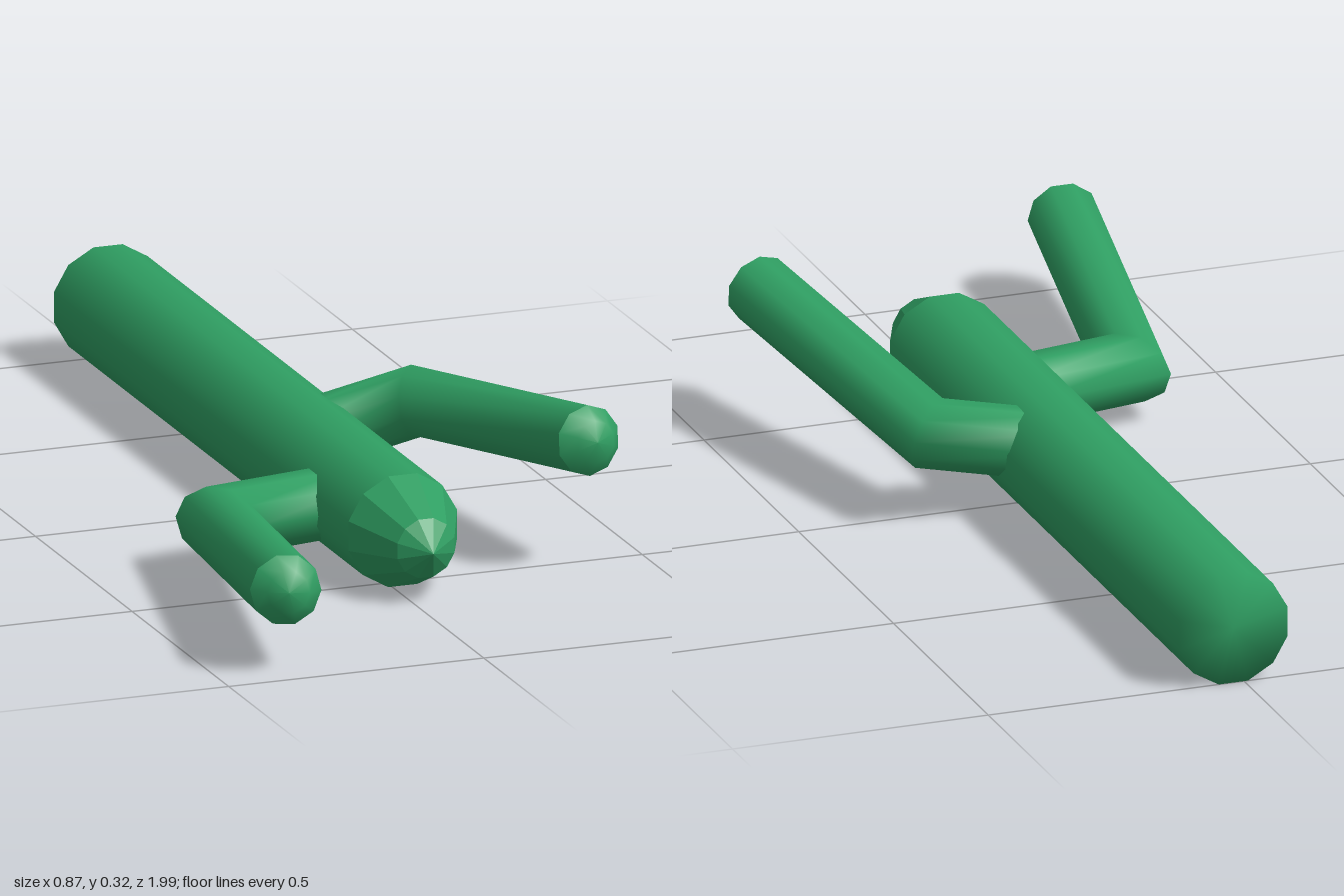
import * as THREE from 'three';

const V = (x, y, z) => new THREE.Vector3(x, y, z);
const SIDES = 10;

// Skin a list of equal rings into a closed-round, smooth surface
function skin(rings) {
  const pos = [], idx = [], n = SIDES;
  rings.forEach(r => r.forEach(p => pos.push(p.x, p.y, p.z)));
  for (let i = 0; i < rings.length - 1; i++) {
    for (let j = 0; j < n; j++) {
      const a = i * n + j, b = i * n + (j + 1) % n;
      idx.push(a, b, a + n, b, b + n, a + n);
    }
  }
  const g = new THREE.BufferGeometry();
  g.setAttribute('position', new THREE.Float32BufferAttribute(pos, 3));
  g.setIndex(idx);
  g.computeVertexNormals();
  return g;
}

// Arm with one mitred elbow and a low domed end
function makeArm(name, start, elbow, end, radius, mat) {
  const d1 = elbow.clone().sub(start).normalize();
  const d2 = end.clone().sub(elbow).normalize();
  const mitre = d1.clone().add(d2).normalize();
  const e1 = d1.clone().cross(V(0, 1, 0)).normalize();
  const e2 = d1.clone().cross(e1);
  const first = [];
  for (let j = 0; j < SIDES; j++) {
    const a = j / SIDES * Math.PI * 2;
    first.push(start.clone().addScaledVector(e1, radius * Math.cos(a)).addScaledVector(e2, radius * Math.sin(a)));
  }
  // Slide a ring along d until it meets the plane through c with normal n
  const slide = (ring, d, c, n) => ring.map(p =>
    p.clone().addScaledVector(d, c.clone().sub(p).dot(n) / d.dot(n)));
  const bend = slide(first, d1, elbow, mitre);
  const rim = slide(bend, d2, end, d2);
  const shrink = (k, h) => rim.map(p => end.clone().lerp(p, k).addScaledVector(d2, h));

  const arm = new THREE.Group();
  arm.name = name;
  const tube = new THREE.Mesh(skin([first, bend, rim]), mat);
  tube.name = name + 'Tube';
  const tip = new THREE.Mesh(skin([rim, shrink(0.6, 0.027), shrink(0.001, 0.034)]), mat);
  tip.name = name + 'Tip';
  arm.add(tube, tip);
  return arm;
}

export function createModel() {
  const model = new THREE.Group();
  model.name = 'cactus';
  const green = new THREE.MeshStandardMaterial({ color: 0x2f9e62 });
  green.name = 'cactusGreen';

  // Twelve-sided trunk lying along z, blunt at the back, pointed at the front
  const R = 0.11;
  const lathe = pts => new THREE.LatheGeometry(
    pts.map(p => new THREE.Vector2(p[0], p[1])), 12, Math.PI / 12).rotateX(Math.PI / 2);
  const trunk = new THREE.Group();
  trunk.name = 'trunk';
  const body = new THREE.Mesh(lathe([[0, -1], [R, -1], [R, 0.525]]), green);
  body.name = 'trunkBody';
  const tipGeo = lathe([[R, 0.525], [0.058, 0.645], [0, 0.685]]).toNonIndexed();
  tipGeo.computeVertexNormals();
  const tip = new THREE.Mesh(tipGeo, green);
  tip.name = 'trunkTip';
  trunk.add(body, tip);
  trunk.position.set(0.021, 0.107, 0);
  model.add(trunk);

  // Two bent arms reaching forward
  model.add(makeArm('rightArm', V(-0.01, 0.1, 0.287), V(-0.272, 0.1, 0.335), V(-0.372, 0.16, 0.957), 0.067, green));
  model.add(makeArm('leftArm', V(0.03, 0.122, -0.034), V(0.255, 0.171, -0.025), V(0.367, 0.255, 0.573), 0.066, green));
  return model;
}
